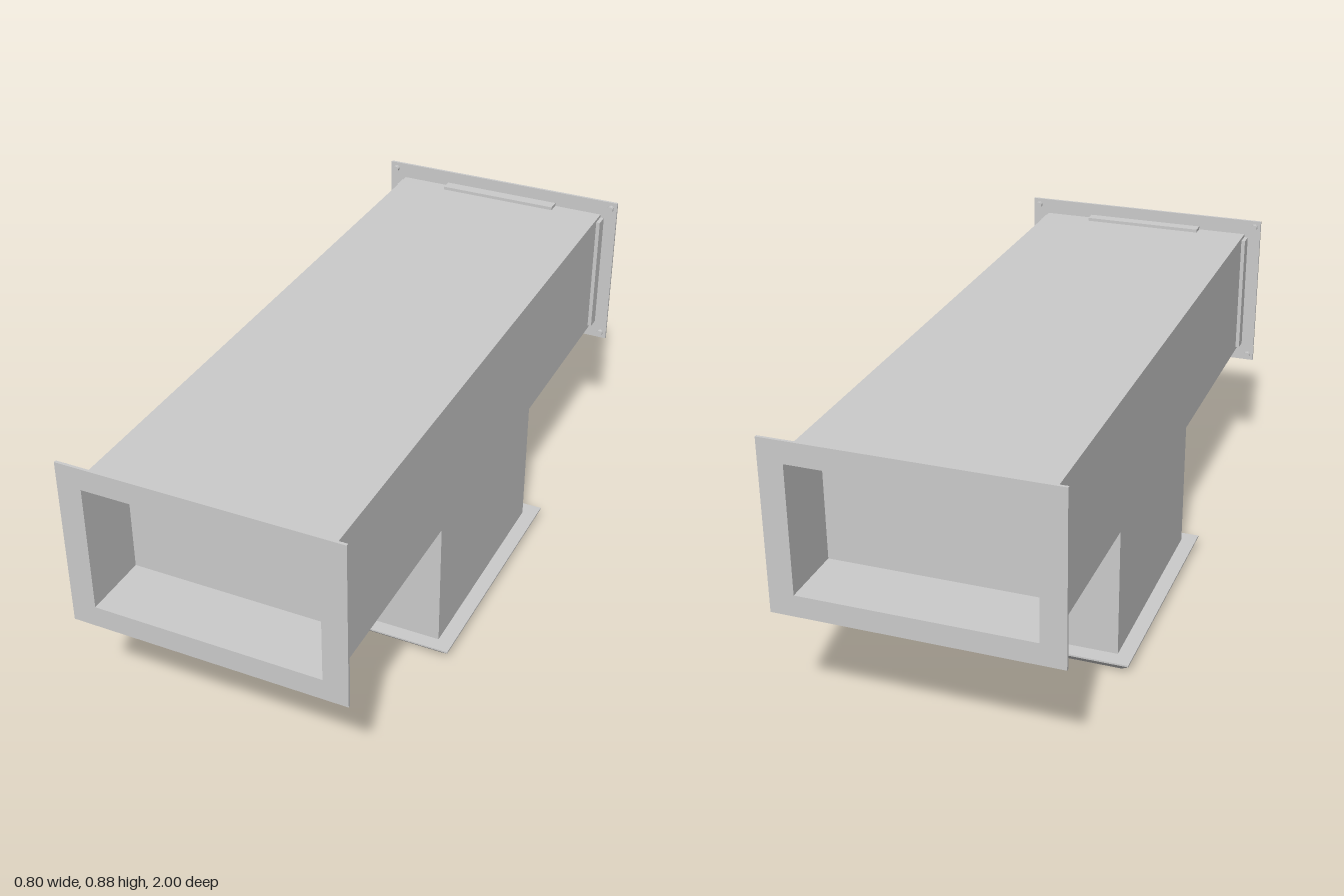
import * as THREE from 'three';

const material = new THREE.MeshStandardMaterial({ color: 0xcccccc, flatShading: true, side: THREE.DoubleSide });

function add(parent, name, geometry, x = 0, y = 0, z = 0) {
  const mesh = new THREE.Mesh(geometry, material);
  mesh.name = name;
  mesh.position.set(x, y, z);
  parent.add(mesh);
  return mesh;
}

// Rectangular frame in the xy plane, extruded along +z
function frame(w, h, holeW, holeH, depth) {
  const rect = (Type, a, b) => new Type([[-a, -b], [a, -b], [a, b], [-a, b]]
    .map(([x, y]) => new THREE.Vector2(x / 2, y / 2)));
  const shape = rect(THREE.Shape, w, h);
  shape.holes.push(rect(THREE.Path, holeW, holeH));
  return new THREE.ExtrudeGeometry(shape, { depth, bevelEnabled: false });
}

// Four-sided sweep of [half width, y] points
function squareLoft(points) {
  const profile = points.map(([r, y]) => new THREE.Vector2(r * Math.SQRT2, y));
  return new THREE.LatheGeometry(profile, 4, Math.PI / 4);
}

const DUCT_Y = 0.63, OPEN_W = 0.655, OPEN_H = 0.37;

// Flange with lips and corner bolts; local +z points out of the duct
function createFlange() {
  const flange = new THREE.Group();
  add(flange, 'flangePlate', frame(0.796, 0.496, OPEN_W, OPEN_H, 0.008), 0, 0, 0.992);
  for (const s of [-1, 1]) {
    add(flange, 'longLip', new THREE.BoxGeometry(0.38, 0.01, 0.037), 0, s * 0.205, 0.974);
    add(flange, 'sideLip', new THREE.BoxGeometry(0.012, 0.38, 0.042), s * 0.351, 0, 0.972);
    for (const t of [-1, 1]) {
      const bolt = add(flange, 'cornerBolt', new THREE.CylinderGeometry(0.01, 0.01, 0.014, 12), s * 0.378, t * 0.228, 0.986);
      bolt.rotation.x = Math.PI / 2;
    }
  }
  return flange;
}

export function createModel() {
  const model = new THREE.Group();
  model.name = 'ductWithDiffuser';

  // Main duct with a panel recessed in each end
  add(model, 'mainDuct', frame(0.69, 0.4, OPEN_W, OPEN_H, 1.986), 0, DUCT_Y, -0.993);
  for (const s of [-1, 1]) {
    add(model, 'endPanel', new THREE.BoxGeometry(OPEN_W, OPEN_H, 0.01), 0, DUCT_Y, s * 0.8);
    const flange = createFlange();
    flange.name = s > 0 ? 'frontFlange' : 'backFlange';
    flange.position.y = DUCT_Y;
    if (s < 0) flange.rotation.y = Math.PI;
    model.add(flange);
  }

  // Branch neck
  add(model, 'neck', squareLoft([[0.345, 0.033], [0.345, 0.43]]), 0, 0, -0.047);

  // Diffuser with nested flared vanes
  const diffuser = new THREE.Group();
  diffuser.name = 'diffuser';
  diffuser.position.z = -0.05;
  model.add(diffuser);
  add(diffuser, 'diffuserFrame', squareLoft([
    [0.335, 0.035], [0.39, 0.035], [0.39, 0.03], [0.363, 0.003], [0.345, 0.003], [0.3, 0.035],
  ]));
  for (let i = 0; i < 4; i++) {
    const r = 0.135 + i * 0.055;
    add(diffuser, 'vane', squareLoft([[r, 0.007], [r - 0.015, 0.009], [r - 0.06, 0.04]]));
  }
  add(diffuser, 'centreVane', squareLoft([[0.085, 0.007], [0.075, 0.009], [0.035, 0.036], [0, 0.036]]));
  return model;
}
